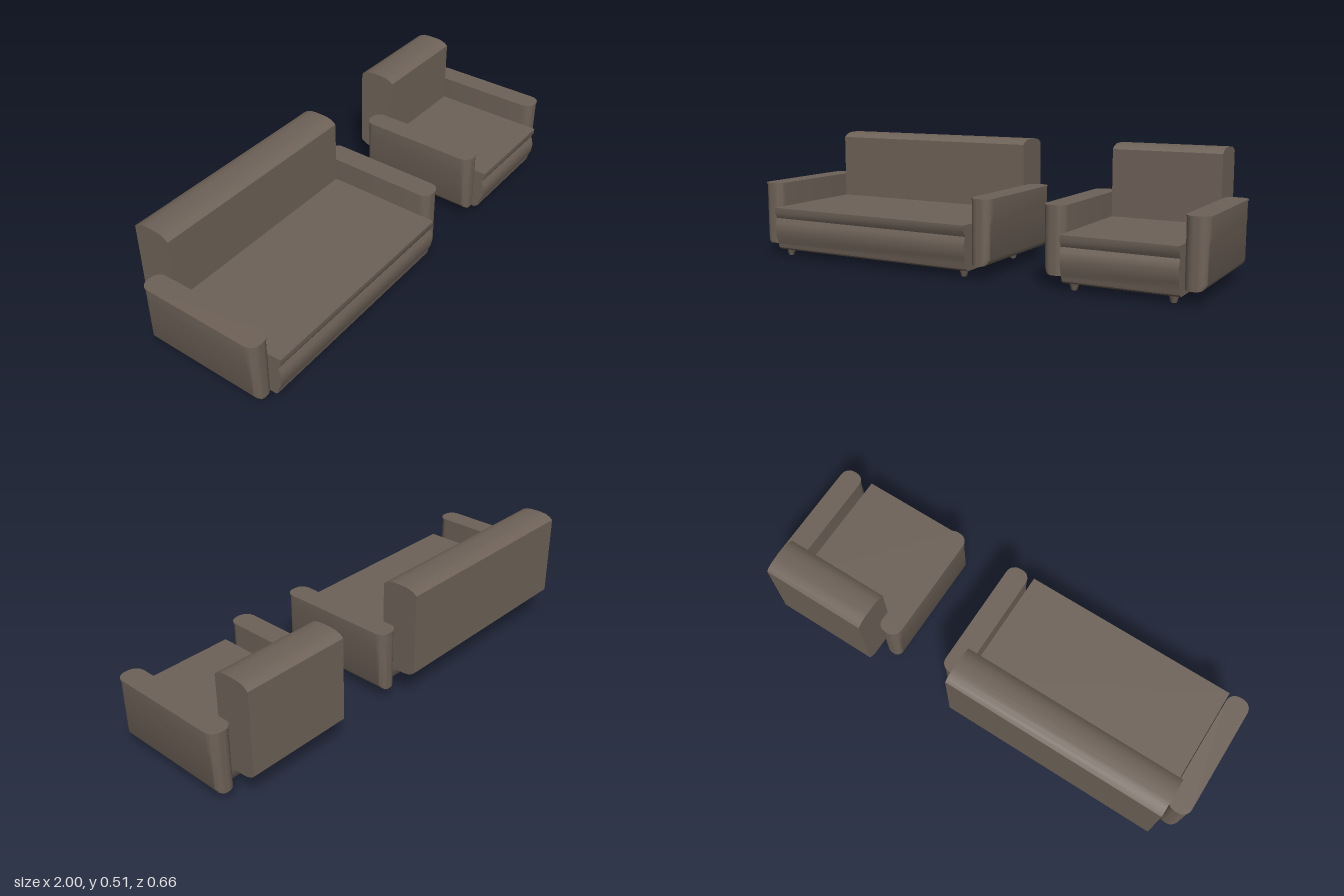
import * as THREE from 'three';
import { toCreasedNormals } from 'three/addons/utils/BufferGeometryUtils.js';

const fabric = new THREE.MeshStandardMaterial({ color: 0x6e6258 });
fabric.name = 'brown fabric';

function part(name, geometry, parent) {
  const mesh = new THREE.Mesh(geometry, fabric);
  mesh.name = name;
  parent.add(mesh);
  return mesh;
}

// Sweeps a side profile of [z, y] points from x0 to x1
function sweep(points, x0, x1) {
  const shape = new THREE.Shape(points.map(([z, y]) => new THREE.Vector2(z, y)));
  const g = new THREE.ExtrudeGeometry(shape, { depth: x1 - x0, bevelEnabled: false });
  g.rotateY(-Math.PI / 2).translate(x1, 0, 0);
  return toCreasedNormals(g, 0.65);
}

// Cushion and base in one side profile, with a groove below the front lip
const seatProfile = [
  [-0.2, 0.213], [-0.2, 0.118], [-0.196, 0.08], [-0.186, 0.05], [-0.175, 0.028],
  [0.298, 0.028], [0.309, 0.036], [0.312, 0.048], [0.313, 0.057], [0.325, 0.085],
  [0.329, 0.11], [0.33, 0.13], [0.326, 0.148], [0.318, 0.167], [0.33, 0.19], [0.33, 0.213],
];

// Backrest with softly domed top and bottom
const backHalf = [[-0.082, 0.488], [-0.068, 0.499], [-0.048, 0.507], [-0.02, 0.51]];
const backTop = [...backHalf, ...backHalf.map(([z, y]) => [-z, y]).reverse()];
const backProfile = [...backTop, ...backTop.map(([z, y]) => [z, 0.627 - y]).reverse()]
  .map(([z, y]) => [z - 0.248, y]);

// Rounded rectangle around the arm, listed as [x, z]
function armPlan(hx, hz, r) {
  const pts = [];
  const corners = [[1, 1], [-1, 1], [-1, -1], [1, -1]];
  corners.forEach(([sx, sz], c) => {
    for (let i = 0; i <= 6; i++) {
      const a = (c + i / 6) * Math.PI / 2;
      pts.push([sx * (hx - r) + r * Math.cos(a), sz * (hz - r) + r * Math.sin(a)]);
    }
  });
  return pts;
}

// Stacks rings of [y, inset of the outer side, growth]; the outer side is +x
function armGeometry() {
  const levels = [
    [0.05, 0.035, 0], [0.053, 0.023, 0], [0.06, 0.014, 0], [0.075, 0.006, 0],
    [0.215, 0.005, 0], [0.235, 0, 0], [0.309, 0, 0], [0.309, 0, 0.003], [0.315, 0, 0.003],
  ];
  const pos = [], index = [];
  const n = armPlan(0.045, 0.267, 0.038).length;
  for (const [y, inset, grow] of levels) {
    for (const [x, z] of armPlan(0.045 + grow, 0.267 + grow, 0.038 + grow)) {
      pos.push(Math.min(x, 0.045 + grow - inset), y, z + 0.027);
    }
  }
  for (let l = 0; l < levels.length - 1; l++) {
    for (let i = 0; i < n; i++) {
      const a = l * n + i, b = l * n + (i + 1) % n;
      index.push(a, a + n, b, b, a + n, b + n);
    }
  }
  // flat underside and top
  const last = (levels.length - 1) * n;
  for (let i = 1; i < n - 1; i++) {
    index.push(0, i, i + 1, last, last + i + 1, last + i);
  }
  const g = new THREE.BufferGeometry();
  g.setAttribute('position', new THREE.Float32BufferAttribute(pos, 3));
  g.setIndex(index);
  return toCreasedNormals(g, 0.65);
}

// One seat of any width between x0 and x1, with arms outside it
function createSeat(name, x0, x1) {
  const group = new THREE.Group();
  group.name = name;
  part('seat', sweep(seatProfile, x0, x1), group);
  part('backrest', sweep(backProfile, x0, x1), group);
  const arm = armGeometry();
  part('leftArm', arm, group).position.x = x1 + 0.046;
  const right = part('rightArm', arm.clone().rotateY(Math.PI), group);
  right.position.set(x0 - 0.046, 0, 0.054);
  // tapered feet
  const foot = toCreasedNormals(new THREE.CylinderGeometry(0.02, 0.011, 0.03, 10), 0.7);
  for (const x of [x0 + 0.034, x1 - 0.034]) {
    for (const z of [0.27, -0.14]) part('foot', foot, group).position.set(x, 0.015, z);
  }
  return group;
}

export function createModel() {
  const model = new THREE.Group();
  model.name = 'sofaSet';
  model.add(createSeat('sofa', -0.906, 0.047));
  model.add(createSeat('armchair', 0.455, 0.906));
  return model;
}
